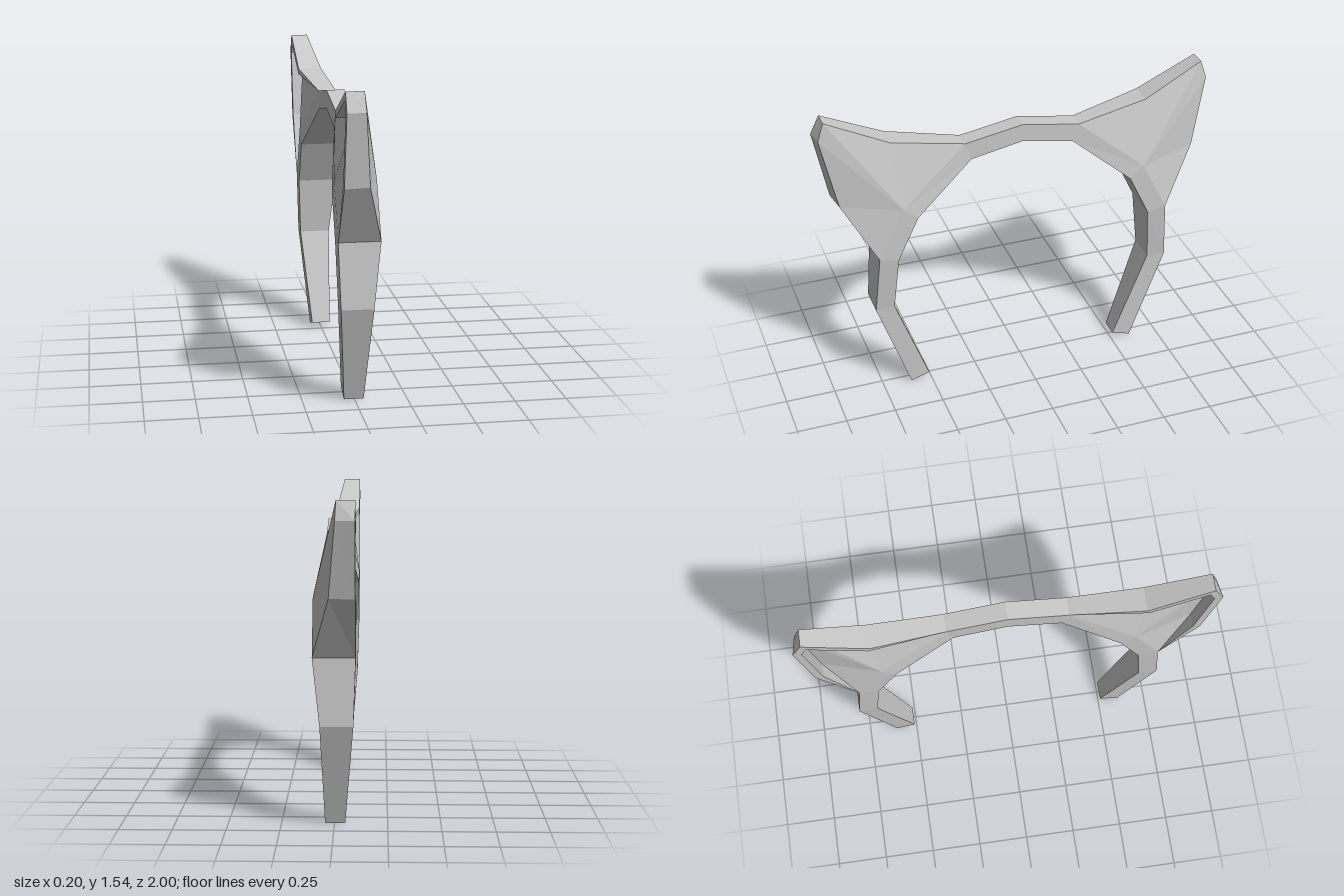
import * as THREE from 'three';

// Collects flat-shaded faces; side = -1 mirrors them across z and flips the winding
function faceBuilder(side) {
  const pos = [];
  const tri = (a, b, c) => {
    const [p, q, r] = [a, b, c].map((v) => new THREE.Vector3(v[0], v[1], v[2] * side));
    const area = q.clone().sub(p).cross(r.clone().sub(p)).length();
    if (area < 1e-7) return;
    const order = side > 0 ? [p, q, r] : [p, r, q];
    order.forEach((v) => pos.push(v.x, v.y, v.z));
  };
  const quad = (a, b, c, d) => { tri(a, b, c); tri(a, c, d); };
  const build = () => {
    const g = new THREE.BufferGeometry();
    g.setAttribute('position', new THREE.Float32BufferAttribute(pos, 3));
    g.computeVertexNormals();
    return g;
  };
  return { tri, quad, build };
}

// Band stations from crown to foot: inner z, y, outer z, y, min x, max x
const stations = [
  [0, 1.30, 0, 1.39, -0.045, 0.045],
  [0.26, 1.25, 0.29, 1.34, -0.045, 0.045],
  [0.55, 1.01, 0.62, 1.07, -0.1, 0.1],
  [0.655, 0.79, 0.75, 0.81, -0.1, 0.1],
  [0.68, 0.50, 0.775, 0.495, -0.09, 0.065],
  [0.51, 0.03, 0.605, 0, -0.05, 0.045],
];

function bandHalf(side) {
  const f = faceBuilder(side);
  const rings = stations.map(([iz, iy, oz, oy, x0, x1]) =>
    [[x0, iy, iz], [x1, iy, iz], [x1, oy, oz], [x0, oy, oz]]);
  for (let i = 0; i < rings.length - 1; i++) {
    const a = rings[i], b = rings[i + 1];
    for (let k = 0; k < 4; k++) {
      if (k === 2 && (i === 1 || i === 2)) continue; // the ear grows from here
      const n = (k + 1) % 4;
      f.quad(a[k], a[n], b[n], b[k]);
    }
  }
  f.quad(...rings[rings.length - 1]); // foot cap
  return f.build();
}

// Ear contours, from the crown side over the tip to the cheek side (x, y, z)
const front = [[0.045, 1.34, 0.29], [0.02, 1.40, 0.65], [-0.015, 1.54, 0.955],
  [-0.01, 1.45, 0.985], [0.02, 1.10, 0.912], [0.1, 0.81, 0.75]];
const back = [[-0.045, 1.34, 0.29], [-0.1, 1.40, 0.65], [-0.1, 1.54, 0.955],
  [-0.1, 1.45, 1.0], [-0.1, 1.10, 0.93], [-0.1, 0.81, 0.75]];
const rim = [back[0], [-0.1, 1.37, 0.66], [-0.1, 1.495, 0.935],
  [-0.1, 1.44, 0.96], [-0.1, 1.112, 0.895], back[5]];
const floor = rim.map((p, i) => (i === 0 || i === 5 ? p : [-0.035, p[1], p[2]]));

function ear(side) {
  const f = faceBuilder(side);
  const mid = [0.1, 1.07, 0.62], midBack = [-0.1, 1.07, 0.62];
  for (let i = 0; i < 5; i++) {
    const j = i + 1;
    f.tri(mid, front[i], front[j]);                  // raised face
    f.quad(front[i], back[i], back[j], front[j]);    // outer wall
    f.quad(back[i], rim[i], rim[j], back[j]);        // rim
    f.quad(rim[i], floor[i], floor[j], rim[j]);      // hollow wall
    f.tri(midBack, floor[j], floor[i]);              // hollow floor
  }
  return f.build();
}

export function createModel() {
  const model = new THREE.Group();
  model.name = 'earHeadband';
  const grey = new THREE.MeshStandardMaterial({ color: 0xc8c8c8, flatShading: true });
  grey.name = 'lightGrey';
  for (const side of [1, -1]) {
    const label = side > 0 ? 'front' : 'back';
    const band = new THREE.Mesh(bandHalf(side), grey);
    band.name = `${label}BandHalf`;
    const earMesh = new THREE.Mesh(ear(side), grey);
    earMesh.name = `${label}Ear`;
    model.add(band, earMesh);
  }
  return model;
}
